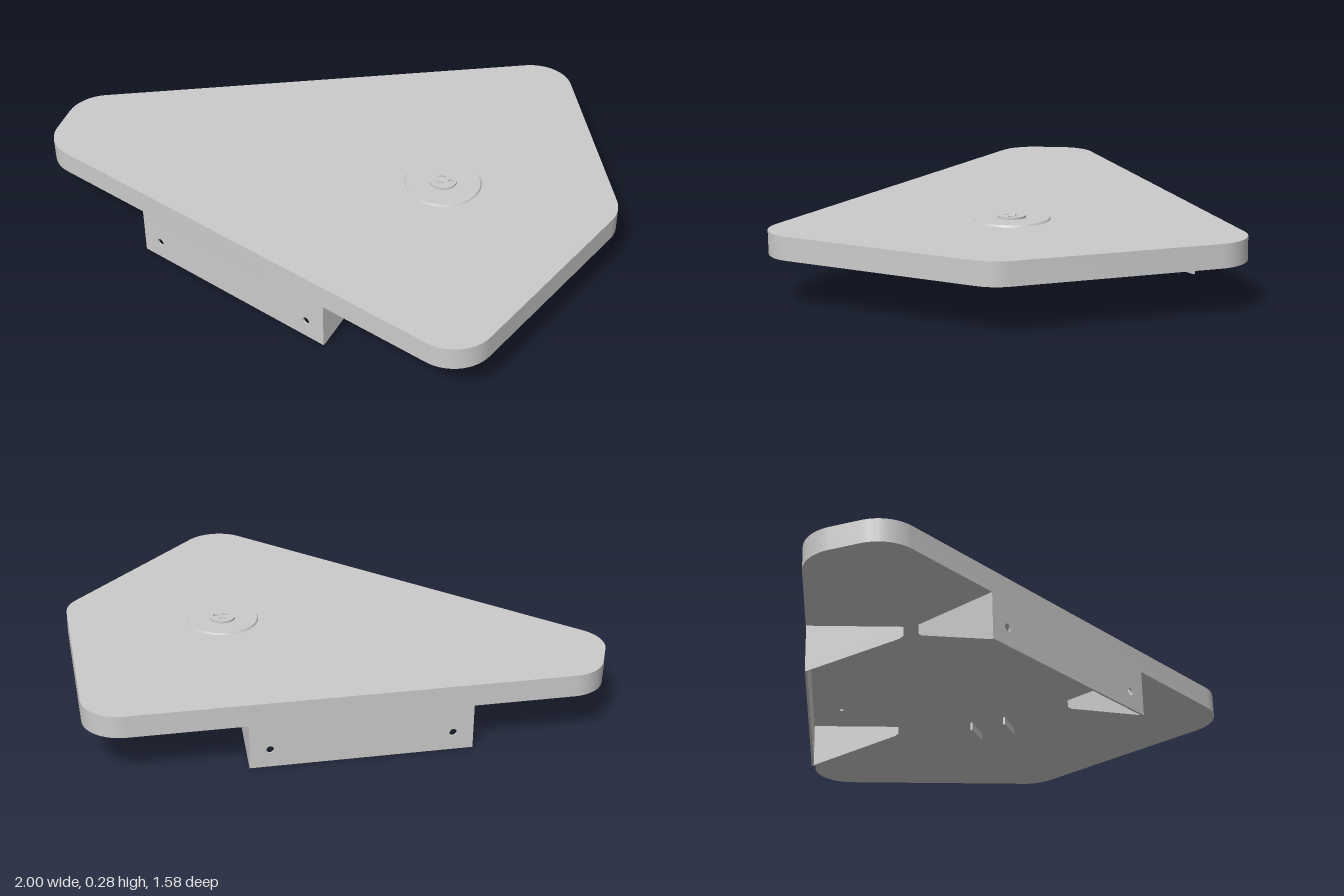
import * as THREE from 'three';
import { toCreasedNormals } from 'three/addons/utils/BufferGeometryUtils.js';

const material = new THREE.MeshStandardMaterial({ color: 0xcccccc });

function addMesh(parent, name, geometry, x = 0, y = 0, z = 0) {
  const mesh = new THREE.Mesh(geometry, material);
  mesh.name = name;
  mesh.position.set(x, y, z);
  parent.add(mesh);
  return mesh;
}

const extrude = (shape, depth, curveSegments = 16) =>
  toCreasedNormals(new THREE.ExtrudeGeometry(shape, { depth, bevelEnabled: false, curveSegments }), 0.5);

// Lays a shape flat: shape y becomes z, and the depth runs downwards
const flat = (shape, depth) => extrude(shape, depth).rotateX(Math.PI / 2);

// Closed polygon with every corner rounded to radius r
function roundedPolygon(points, r) {
  const shape = new THREE.Shape();
  const pts = points.map(([x, y]) => new THREE.Vector2(x, y));
  pts.forEach((p, i) => {
    const toPrev = pts.at(i - 1).clone().sub(p).normalize();
    const toNext = pts[(i + 1) % pts.length].clone().sub(p).normalize();
    const turn = Math.PI - Math.acos(toPrev.dot(toNext));
    const t = r * Math.tan(turn / 2);
    const c = t - (4 / 3) * Math.tan(turn / 4) * r;
    const at = (dir, d) => p.clone().addScaledVector(dir, d);
    const a = at(toPrev, t), b = at(toPrev, c), d = at(toNext, c), e = at(toNext, t);
    if (i === 0) shape.moveTo(a.x, a.y);
    else shape.lineTo(a.x, a.y);
    shape.bezierCurveTo(b.x, b.y, d.x, d.y, e.x, e.y);
  });
  shape.closePath();
  return shape;
}

const polygon = (pts) => new THREE.Shape(pts.map(([x, y]) => new THREE.Vector2(x, y)));

function punch(shape, x, y, r) {
  shape.holes.push(new THREE.Path().absarc(x, y, r, 0, Math.PI * 2, true));
}

// Folded sheet bracket: wall plate at z = 0, flange and gussets reach towards -z
function createBracket(name) {
  const bracket = new THREE.Group();
  bracket.name = name;
  const w = 0.42, reach = 0.34, top = 0.176, t = 0.008;

  const plate = polygon([[-w, 0], [w, 0], [w, top], [-w, top]]);
  const flange = polygon([[-w, -reach], [w, -reach], [w, -t], [-w, -t]]);
  for (const side of [-1, 1]) {
    punch(plate, side * 0.343, 0.07, 0.014);
    punch(flange, side * 0.26, -0.115, 0.008);
  }
  addMesh(bracket, 'wallPlate', extrude(plate, t), 0, 0, -t);
  addMesh(bracket, 'topFlange', flat(flange, t), 0, top, 0);

  const gusset = polygon([[-t, 0], [-t, top - t], [-reach, top - t], [-reach, 0.14], [-reach + 0.015, 0.128]]);
  for (const [side, x] of [['left', w], ['right', -w + t]]) {
    addMesh(bracket, side + 'Gusset', extrude(gusset, t).rotateY(-Math.PI / 2), x);
  }
  return bracket;
}

// Power socket: low cover disc, raised face with openings, two blades below
function createSocket() {
  const socket = new THREE.Group();
  socket.name = 'socket';
  addMesh(socket, 'coverDisc', toCreasedNormals(new THREE.CylinderGeometry(0.136, 0.14, 0.008, 64), 0.5), 0, 0.265, 0);

  const face = new THREE.Shape().absarc(0, 0, 0.05, 0, Math.PI * 2);
  for (const z of [-0.018, 0.018]) {
    const [x, l, h] = [-0.007, 0.014, 0.006];
    face.holes.push(new THREE.Path([[x - l, z - h], [x - l, z + h], [x + l, z + h], [x + l, z - h]]
      .map(([a, b]) => new THREE.Vector2(a, b))));
  }
  punch(face, 0.029, 0, 0.01);
  addMesh(socket, 'socketFace', flat(face, 0.01), 0, 0.277, 0);

  for (const side of [-1, 1]) {
    addMesh(socket, 'blade', new THREE.BoxGeometry(0.118, 0.034, 0.008), 0, 0.162, side * 0.068);
  }
  return socket;
}

export function createModel() {
  const model = new THREE.Group();
  model.name = 'cornerShelf';

  // Five-sided top with rounded corners
  const outline = roundedPolygon(
    [[-1.027, 0.497], [0.325, -0.855], [1, -0.18], [1, 0.787], [-0.913, 0.787]], 0.15);
  addMesh(model, 'shelfTop', flat(outline, 0.086), 0, 0.262, 0);

  // One bracket on the front edge, one on the diagonal edge
  const front = createBracket('frontBracket');
  front.position.set(0, 0, 0.787);
  const diagonal = createBracket('diagonalBracket');
  diagonal.position.set(-0.388, 0, -0.14);
  diagonal.rotation.y = -Math.PI * 0.75;

  const socket = createSocket();
  socket.position.set(0.405, 0, 0.074);
  socket.rotation.y = 0.38;

  model.add(front, diagonal, socket);
  return model;
}
